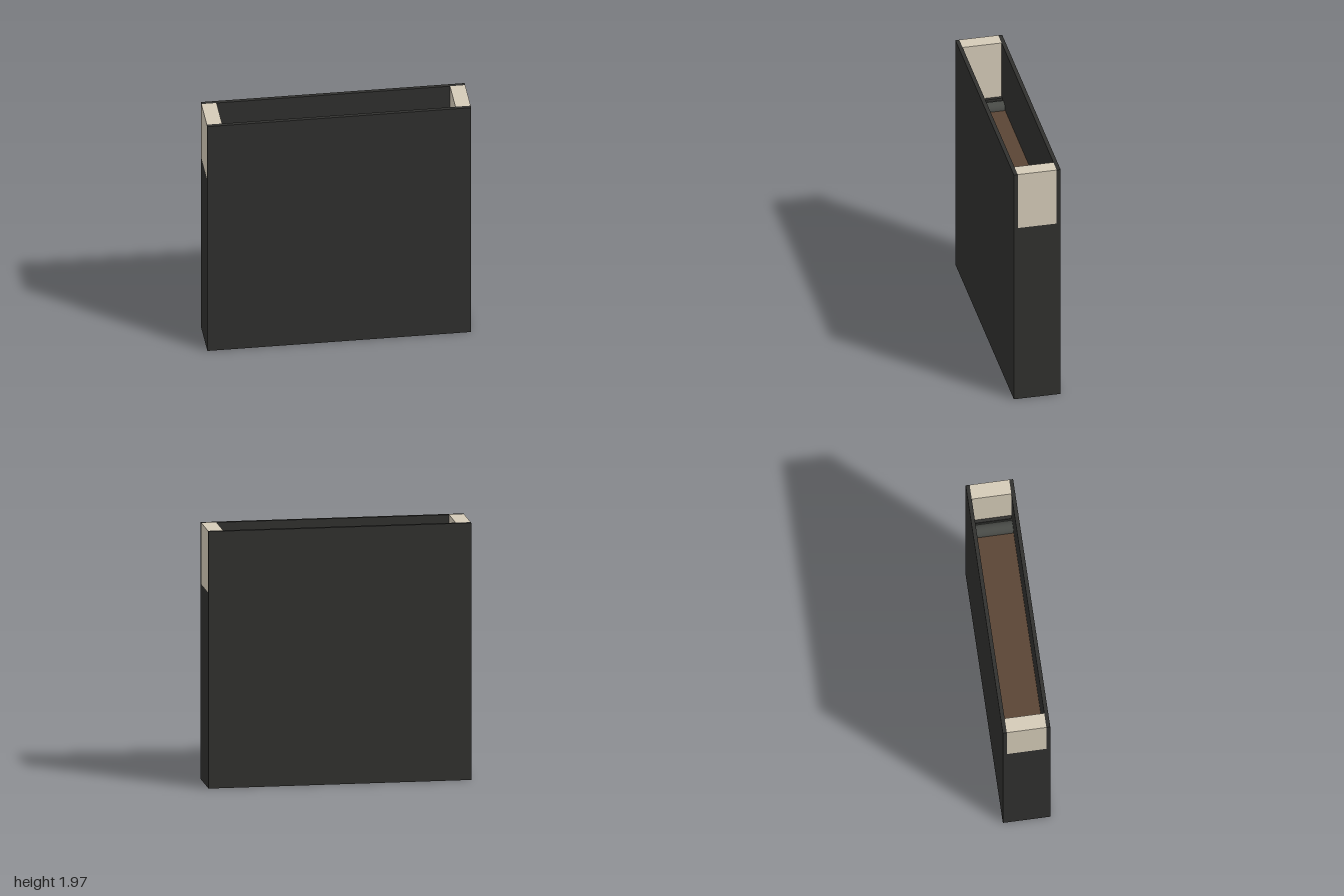
import * as THREE from 'three';

const mat = (color) => new THREE.MeshStandardMaterial({ color });

export function createModel() {
  const model = new THREE.Group();
  const shell = mat(0x30302e);
  const cream = mat(0xd4cab7);
  const brown = mat(0x5a4535);
  const grey = mat(0x484a46);

  const H = 1.97, ledge = 1.5, floorY = 1.45;
  const panelT = 0.03, halfZ = 0.18, innerZ = 0.3;

  function add(name, geometry, material, x, y, z) {
    const mesh = new THREE.Mesh(geometry, material);
    mesh.name = name;
    mesh.position.set(x, y, z);
    model.add(mesh);
    return mesh;
  }
  const box = (name, w, h, d, material, x, y, z) =>
    add(name, new THREE.BoxGeometry(w, h, d), material, x, y + h / 2, z);

  // Solid lower body between the two tall panels
  box('lowerBody', 2, floorY - 0.04, innerZ, shell, 0, 0, 0);
  // Brown floor of the open trough
  box('troughFloor', 1.72, 0.04, innerZ, brown, 0, floorY - 0.04, 0);

  // Tall front and back panels
  for (const s of [1, -1]) {
    box(s > 0 ? 'frontPanel' : 'backPanel', 2, H, panelT, shell, 0, 0, s * (halfZ - panelT / 2));
  }

  // Half-round moulding profile, extruded across the trough
  const profile = new THREE.Shape();
  profile.moveTo(0.05, 0);
  profile.absarc(0, 0, 0.05, 0, Math.PI, false);
  profile.closePath();
  const moulding = new THREE.ExtrudeGeometry(profile, { depth: innerZ, bevelEnabled: false, curveSegments: 20 });
  moulding.translate(0, 0, -innerZ / 2);

  // End ledges, cream end blocks and rounded mouldings
  for (const s of [1, -1]) {
    const side = s > 0 ? 'left' : 'right';
    box(side + 'Ledge', 0.14, ledge - floorY + 0.04, innerZ, shell, s * 0.93, floorY - 0.04, 0);
    box(side + 'EndBlock', 0.115, H - ledge, innerZ, cream, s * 0.9425, ledge, 0);
    box(side + 'Sill', 0.03, 0.05, innerZ, grey, s * 0.872, floorY - 0.02, 0);
    add(side + 'Moulding', moulding, grey, s * 0.81, floorY, 0);
  }
  return model;
}
